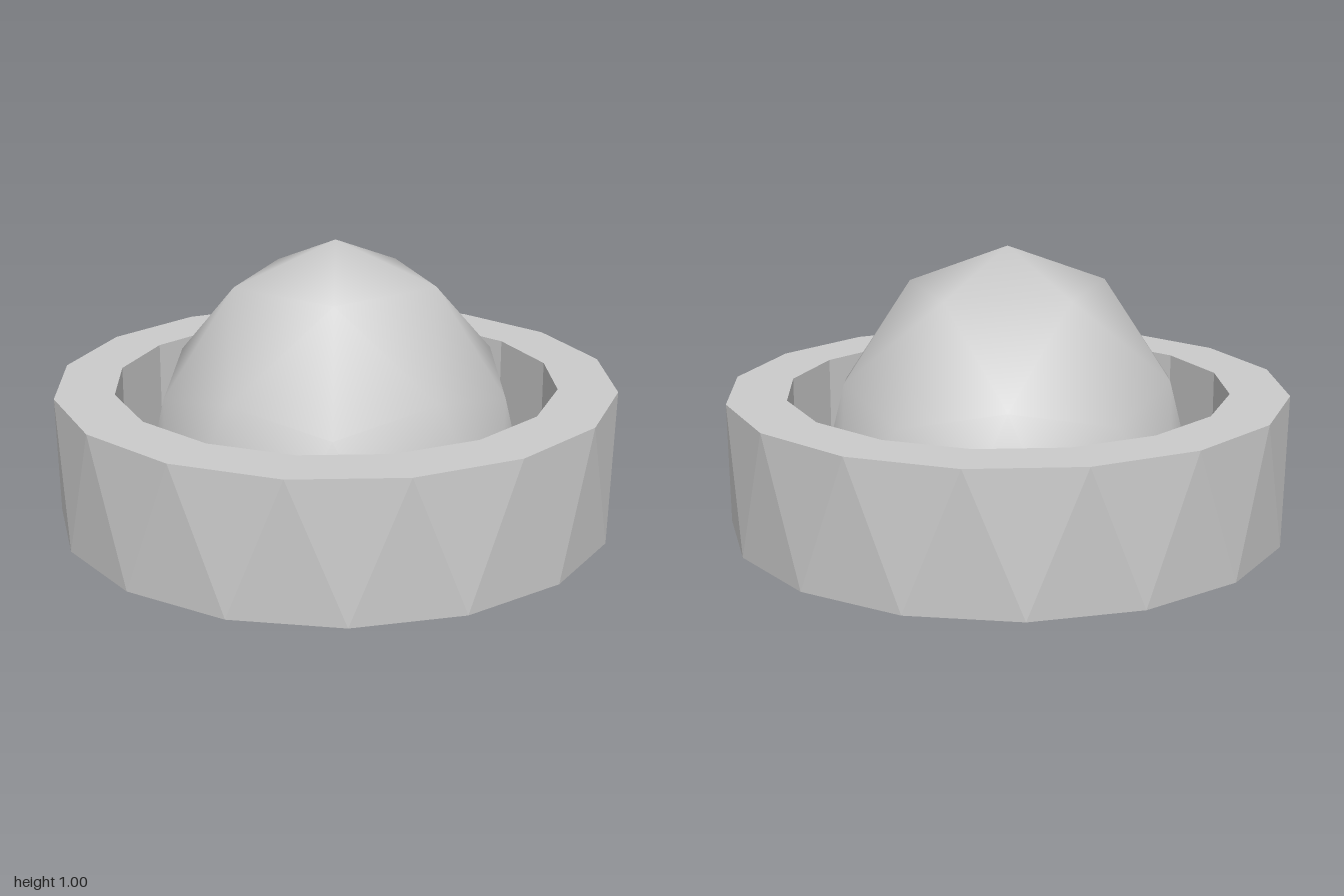
import * as THREE from 'three';

const SIDES = 16;
const RIM_Y = 0.49, FLOOR_Y = 0.14;
const OUTER_R = 1, INNER_R = 0.79;

export function createModel() {
  const model = new THREE.Group();
  const faceted = new THREE.MeshStandardMaterial({ color: 0xcccccc, flatShading: true });
  const smooth = new THREE.MeshStandardMaterial({ color: 0xcccccc });
  const inward = new THREE.MeshStandardMaterial({ color: 0xcccccc, flatShading: true, side: THREE.BackSide });

  const add = (parent, name, geometry, material) => {
    const mesh = new THREE.Mesh(geometry, material);
    mesh.name = name;
    parent.add(mesh);
    return mesh;
  };

  const base = new THREE.Group();
  base.name = 'base';
  model.add(base);

  // outer wall: bottom edge turned by half a side, giving alternating triangles
  const outer = new THREE.CylinderGeometry(OUTER_R, OUTER_R, RIM_Y, SIDES, 1, true);
  const p = outer.attributes.position;
  const v = new THREE.Vector3();
  const up = new THREE.Vector3(0, 1, 0);
  for (let i = 0; i < p.count; i++) {
    v.fromBufferAttribute(p, i);
    if (v.y < 0) v.applyAxisAngle(up, Math.PI / SIDES);
    p.setXYZ(i, v.x, v.y, v.z);
  }
  outer.translate(0, RIM_Y / 2, 0);
  outer.computeVertexNormals();
  add(base, 'outerWall', outer, faceted);

  // flat rim
  add(base, 'rim', new THREE.RingGeometry(INNER_R, OUTER_R, SIDES).rotateX(-Math.PI / 2).translate(0, RIM_Y, 0), faceted);

  // recess: inner wall and floor
  const depth = RIM_Y - FLOOR_Y;
  add(base, 'innerWall', new THREE.CylinderGeometry(INNER_R, INNER_R, depth, SIDES, 1, true)
    .translate(0, FLOOR_Y + depth / 2, 0), inward);
  add(base, 'recessFloor', new THREE.CircleGeometry(INNER_R, SIDES)
    .rotateX(-Math.PI / 2).translate(0, FLOOR_Y, 0), faceted);

  // underside
  add(base, 'underside', new THREE.CircleGeometry(OUTER_R, SIDES)
    .rotateX(Math.PI / 2).rotateY(Math.PI / SIDES), faceted);

  // dome: upper half of an icosphere standing on a vertex, stretched upwards
  const ball = new THREE.IcosahedronGeometry(1, 1).rotateZ(Math.atan(2 / (1 + Math.sqrt(5))));
  const bp = ball.attributes.position, bn = ball.attributes.normal;
  const positions = [], normals = [];
  for (let i = 0; i < bp.count; i += 3) {
    if (Math.min(bp.getY(i), bp.getY(i + 1), bp.getY(i + 2)) < -0.01) continue;
    for (let k = i; k < i + 3; k++) {
      positions.push(bp.getX(k), bp.getY(k), bp.getZ(k));
      normals.push(bn.getX(k), bn.getY(k), bn.getZ(k));
    }
  }
  const dome = new THREE.BufferGeometry();
  dome.setAttribute('position', new THREE.Float32BufferAttribute(positions, 3));
  dome.setAttribute('normal', new THREE.Float32BufferAttribute(normals, 3));
  dome.scale(0.685, 0.95, 0.708).translate(0, 0.05, 0);
  add(model, 'dome', dome, smooth);

  return model;
}
